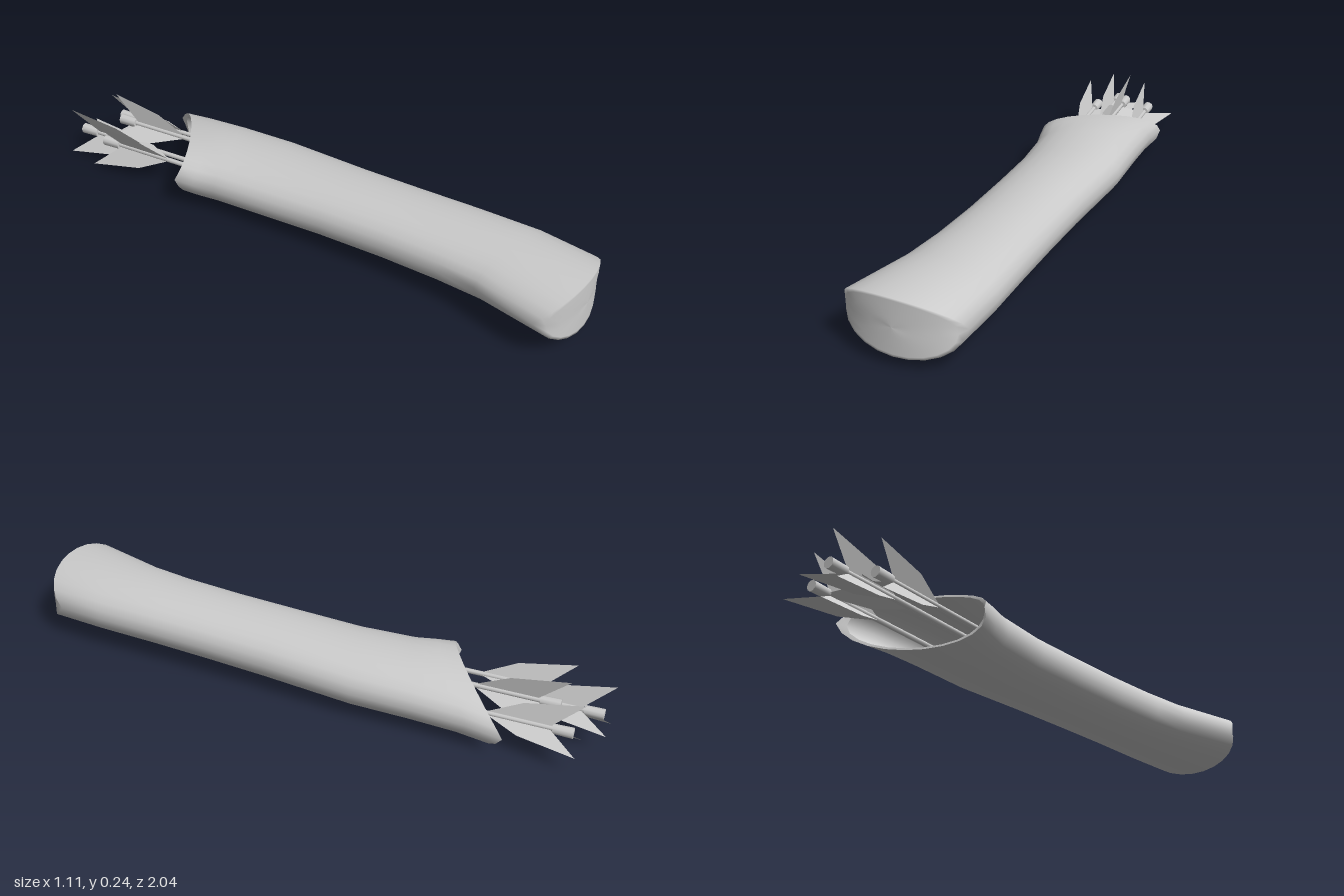
import * as THREE from 'three';

const material = new THREE.MeshStandardMaterial({ color: 0xcccccc, side: THREE.DoubleSide });
const SIDES = 24;

// Quiver cross-sections, mouth to base: left x,z / right x,z / left y, right y / half height / bulge along the axis
const sections = [
  [-0.39, -0.40, -0.13, -0.82, 0.12, 0.08, 0.098, 0.07],
  [-0.35, -0.34, -0.08, -0.70, 0.115, 0.095, 0.102, 0.05],
  [-0.30, -0.27, 0.00, -0.53, 0.11, 0.105, 0.104, 0.02],
  [-0.20, -0.08, 0.10, -0.32, 0.11, 0.11, 0.104, 0],
  [-0.10, 0.13, 0.22, 0.00, 0.12, 0.12, 0.104, 0],
  [0.00, 0.36, 0.31, 0.22, 0.128, 0.128, 0.104, 0],
  [0.08, 0.57, 0.40, 0.43, 0.135, 0.135, 0.104, 0],
  [0.125, 0.72, 0.49, 0.64, 0.142, 0.138, 0.104, 0.03],
  [0.16, 0.97, 0.545, 0.81, 0.152, 0.13, 0.102, 0.1],
];

// One ring of points around a section, scaled by k about its middle
function ring([lx, lz, rx, rz, ly, ry, h, bulge], k) {
  const points = [];
  for (let i = 0; i < SIDES; i++) {
    const a = (i / SIDES) * Math.PI * 2;
    const u = k * Math.cos(a);
    const s = Math.sin(a);
    const v = k * Math.sign(s) * Math.pow(Math.abs(s), 0.88);
    const push = bulge * Math.sqrt(Math.max(0, 1 - u * u));
    points.push(
      (lx + rx) / 2 + (u * (rx - lx)) / 2 + 0.38 * push,
      (ly + ry) / 2 + (u * (ry - ly)) / 2 + h * v,
      (lz + rz) / 2 + (u * (rz - lz)) / 2 + 0.92 * push
    );
  }
  return points;
}

function loft(rings) {
  const index = [];
  for (let r = 0; r < rings.length - 1; r++) {
    for (let i = 0; i < SIDES; i++) {
      const j = (i + 1) % SIDES;
      const a = r * SIDES + i, b = r * SIDES + j;
      const c = a + SIDES, d = b + SIDES;
      index.push(a, c, b, b, c, d);
    }
  }
  const geometry = new THREE.BufferGeometry();
  geometry.setAttribute('position', new THREE.Float32BufferAttribute(rings.flat(), 3));
  geometry.setIndex(index);
  geometry.computeVertexNormals();
  return geometry;
}

function createQuiver() {
  const rings = [];
  const base = sections[sections.length - 1];
  // Rounded base, then the outer wall up to the mouth
  for (const k of [0, 0.35, 0.7, 0.92]) rings.push(ring(base, k));
  for (let i = sections.length - 1; i >= 0; i--) rings.push(ring(sections[i], 1));
  // Rim (doubled rings keep its edges sharp), then the inner wall and floor
  rings.push(ring(sections[0], 1), ring(sections[0], 0.93));
  for (let i = 0; i < sections.length - 1; i++) rings.push(ring(sections[i], 0.93));
  rings.push(ring(sections[sections.length - 2], 0));
  const quiver = new THREE.Mesh(loft(rings), material);
  quiver.name = 'quiver';
  return quiver;
}

// Arrow along local +y, its nock at the origin
function createArrow() {
  const arrow = new THREE.Group();
  const shaft = new THREE.Mesh(new THREE.CylinderGeometry(0.009, 0.009, 0.75, 8).translate(0, 0.375, 0), material);
  shaft.name = 'shaft';
  const nock = new THREE.Mesh(new THREE.CylinderGeometry(0.018, 0.02, 0.07, 10).translate(0, 0.035, 0), material);
  nock.name = 'nock';
  arrow.add(shaft, nock);

  const outline = new THREE.Shape([[0.006, 0.08], [0.103, -0.025], [0.066, 0.18], [0.006, 0.3]]
    .map(([x, y]) => new THREE.Vector2(x, y)));
  const vane = new THREE.ShapeGeometry(outline);
  for (let i = 0; i < 3; i++) {
    const feather = new THREE.Mesh(vane, material);
    feather.name = 'feather';
    feather.rotation.y = (i * Math.PI * 2) / 3;
    arrow.add(feather);
  }
  return arrow;
}

export function createModel() {
  const model = new THREE.Group();
  model.name = 'quiverWithArrows';
  model.add(createQuiver());

  // Arrows: nock position and roll in degrees
  const along = new THREE.Vector3(0.45, 0.02, 0.89).normalize();
  const side = new THREE.Vector3(0.89, 0, -0.45).normalize();
  const up = new THREE.Vector3().crossVectors(side, along);
  const basis = new THREE.Matrix4().makeBasis(side, along, up);
  const arrows = [
    [-0.495, 0.085, -0.965, -10],
    [-0.325, 0.09, -0.965, -15],
    [-0.475, 0.105, -0.81, -5],
    [-0.37, 0.135, -0.87, -35],
  ];
  for (const [x, y, z, roll] of arrows) {
    const arrow = createArrow();
    arrow.name = 'arrow';
    arrow.quaternion.setFromRotationMatrix(basis);
    // Local z points down or up depending on the basis; roll is measured upwards
    arrow.rotateY((up.y > 0 ? -1 : 1) * THREE.MathUtils.degToRad(roll));
    arrow.position.set(x, y, z);
    model.add(arrow);
  }
  return model;
}
